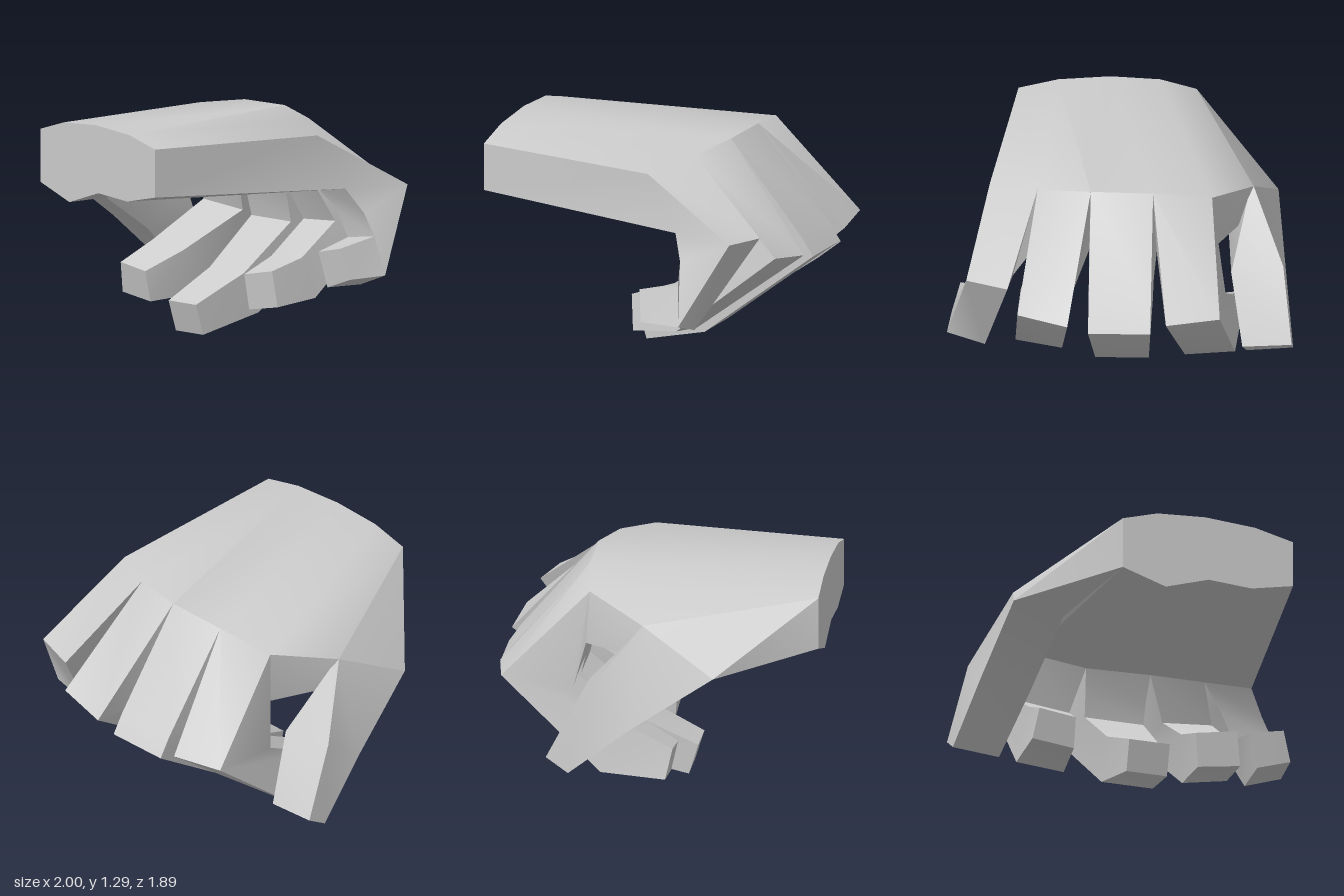
import * as THREE from 'three';
import { toCreasedNormals } from 'three/addons/utils/BufferGeometryUtils.js';
import { ConvexGeometry } from 'three/addons/geometries/ConvexGeometry.js';

const CREASE = 0.82;

// Triangles skinning a row of closed cross-sections, with one end capped.
function loft(sections, cap) {
  const pos = [];
  const tri = (a, b, c) => pos.push(...a, ...b, ...c);
  const end = cap === 'start' ? sections[0] : sections[sections.length - 1];
  const n = end.length;
  const centre = [0, 1, 2].map((k) => end.reduce((sum, p) => sum + p[k], 0) / n);
  for (let i = 0; i < n; i++) {
    const j = (i + 1) % n;
    for (let s = 0; s < sections.length - 1; s++) {
      const a = sections[s];
      const b = sections[s + 1];
      tri(a[i], a[j], b[i]);
      tri(a[j], b[j], b[i]);
    }
    if (cap === 'start') tri(centre, end[j], end[i]);
    else tri(centre, end[i], end[j]);
  }
  return pos;
}

export function createModel() {
  const parts = {};

  // Knuckle line: upper and lower points between which the fingers start
  const upper = [[-0.53, 1.24, -0.37], [-0.19, 1.29, -0.42], [0.17, 1.295, -0.42], [0.48, 1.26, -0.34], [0.76, 1.205, -0.17]];
  const lower = [[-0.55, 0.93, -0.39], [-0.21, 0.88, -0.38], [0.18, 0.89, -0.38], [0.5, 0.88, -0.36], [0.785, 0.88, -0.36]];

  // Palm: from the flat wrist face to the knuckle line
  const wrist = [
    [-0.4, 0.91], [-0.4, 1.22], [-0.19, 1.28], [0.1, 1.295], [0.4, 1.27],
    [0.63, 1.21], [0.63, 0.93], [0.38, 0.88], [0.12, 0.9], [-0.14, 0.82],
  ].map(([x, y]) => [x, y, 0.945]);
  const knuckles = [lower[0], ...upper, lower[4], lower[3], lower[2], lower[1]];
  parts.palm = loft([wrist, knuckles], 'start');

  // Ball of the thumb, with the web to the index finger
  const ball = [
    wrist[0], wrist[1], upper[0], lower[0],
    [-0.76, 1.13, -0.03], [-0.89, 0.87, 0.4], [-0.59, 0.81, 0.4],
  ];
  parts.thumbBase = [...new ConvexGeometry(ball.map((p) => new THREE.Vector3(...p))).attributes.position.array];

  // Finger joints; corners run back -x, back +x, inside +x, inside -x
  const fingers = {
    indexFinger: [
      [[-0.59, 0.72, -0.88], [-0.28, 0.7, -0.93], [-0.28, 0.63, -0.48], [-0.61, 0.66, -0.46]],
      [[-0.66, 0.18, -0.29], [-0.37, 0.16, -0.3], [-0.36, 0.42, -0.1], [-0.64, 0.45, -0.1]],
      [[-0.68, 0.16, 0.09], [-0.43, 0.13, 0.09], [-0.43, 0.31, 0.13], [-0.65, 0.34, 0.13]],
    ],
    middleFinger: [
      [[-0.19, 0.76, -0.87], [0.17, 0.76, -0.87], [0.17, 0.74, -0.44], [-0.195, 0.74, -0.44]],
      [[-0.19, 0.65, -0.945], [0.17, 0.65, -0.945], [0.165, 0.61, -0.47], [-0.19, 0.61, -0.47]],
      [[-0.16, 0.1, -0.24], [0.15, 0.1, -0.24], [0.15, 0.34, -0.13], [-0.16, 0.34, -0.13]],
      [[-0.13, 0, 0.15], [0.115, 0, 0.15], [0.115, 0.18, 0.205], [-0.13, 0.18, 0.205]],
    ],
    ringFinger: [
      [[0.29, 0.69, -0.945], [0.58, 0.74, -0.9], [0.575, 0.66, -0.46], [0.28, 0.64, -0.47]],
      [[0.34, 0.18, -0.28], [0.61, 0.23, -0.28], [0.585, 0.47, -0.2], [0.31, 0.45, -0.2]],
      [[0.35, 0.16, 0], [0.605, 0.2, 0], [0.58, 0.41, 0.02], [0.33, 0.365, 0.02]],
    ],
    littleFinger: [
      [[0.64, 0.87, -0.83], [0.88, 0.88, -0.75], [0.87, 0.74, -0.43], [0.62, 0.74, -0.43]],
      [[0.78, 0.31, -0.48], [1, 0.385, -0.48], [0.94, 0.61, -0.45], [0.7, 0.58, -0.45]],
      [[0.78, 0.315, -0.23], [0.98, 0.38, -0.23], [0.93, 0.56, -0.2], [0.735, 0.52, -0.2]],
    ],
  };
  Object.entries(fingers).forEach(([name, joints], i) => {
    const root = [upper[i], upper[i + 1], lower[i + 1], lower[i]];
    parts[name] = loft([root, ...joints], 'end');
  });

  // Thumb, hanging from its base and narrowing to a point at the web
  parts.thumb = loft([
    [[-0.76, 1.13, -0.03], [-0.73, 1.08, -0.06], [-0.59, 0.81, 0.4], [-0.89, 0.87, 0.4]],
    [[-0.94, 0.77, -0.33], [-0.64, 0.74, -0.36], [-0.65, 0.52, -0.07], [-0.95, 0.56, -0.07]],
    [[-0.995, 0.38, -0.56], [-0.71, 0.36, -0.555], [-0.73, 0.25, -0.4], [-1, 0.29, -0.43]],
  ], 'end');

  // Normals are found on the whole hand, so the skin shades smoothly between parts
  const whole = new THREE.BufferGeometry();
  whole.setAttribute('position', new THREE.Float32BufferAttribute(Object.values(parts).flat(), 3));
  const normals = toCreasedNormals(whole, CREASE).attributes.normal.array;

  const group = new THREE.Group();
  const material = new THREE.MeshStandardMaterial({ color: 0xcccccc });
  let start = 0;
  for (const [name, positions] of Object.entries(parts)) {
    const geometry = new THREE.BufferGeometry();
    geometry.setAttribute('position', new THREE.Float32BufferAttribute(positions, 3));
    geometry.setAttribute('normal', new THREE.Float32BufferAttribute(normals.slice(start, start + positions.length), 3));
    start += positions.length;
    const mesh = new THREE.Mesh(geometry, material);
    mesh.name = name;
    group.add(mesh);
  }
  return group;
}
